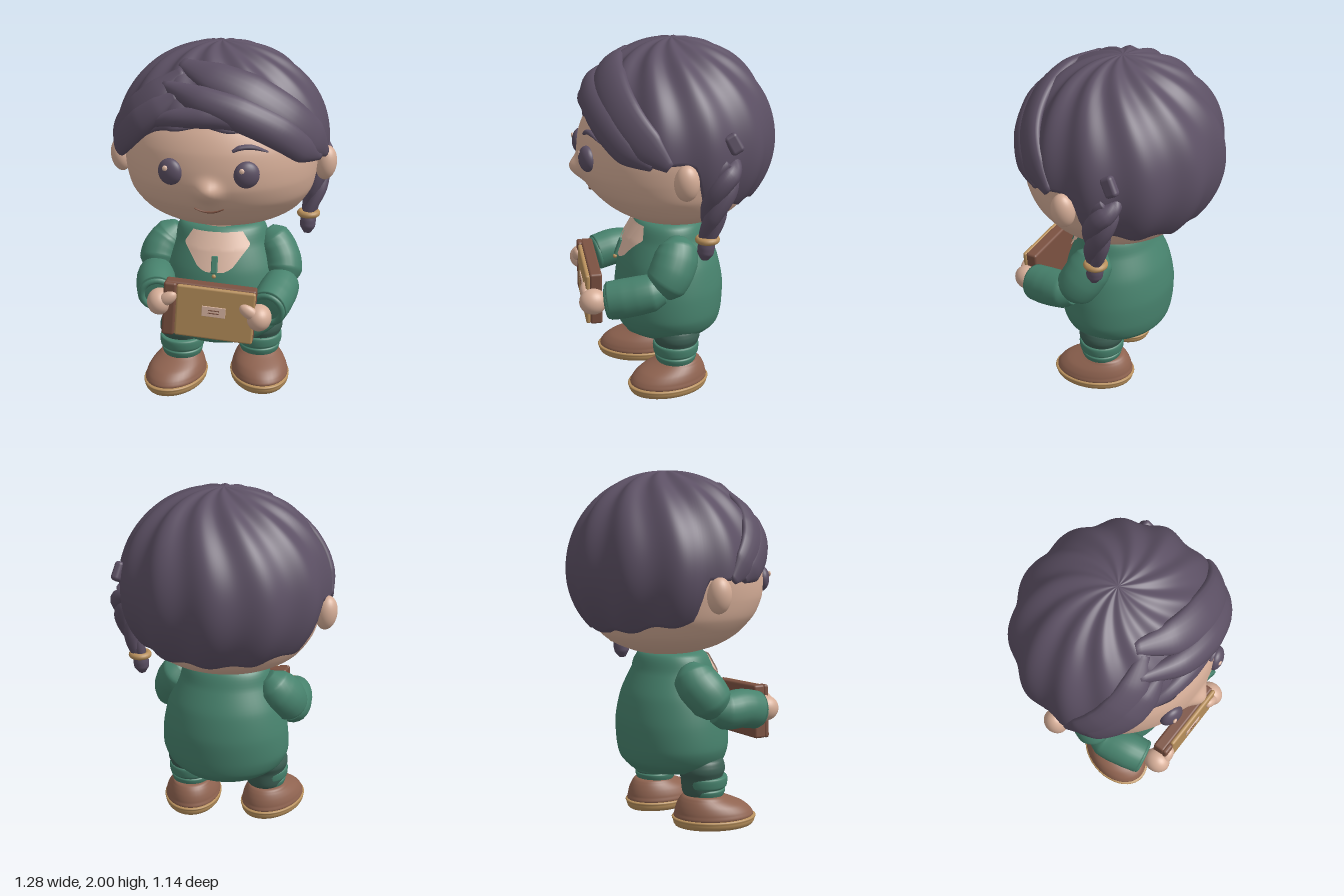
import * as THREE from 'three';
import { mergeVertices } from 'three/addons/utils/BufferGeometryUtils.js';
import { ParametricGeometry } from 'three/addons/geometries/ParametricGeometry.js';
import { RoundedBoxGeometry } from 'three/addons/geometries/RoundedBoxGeometry.js';

const V = (x, y, z) => new THREE.Vector3(x, y, z);

function material(name, color, side = THREE.FrontSide) {
  const m = new THREE.MeshStandardMaterial({ color, side });
  m.name = name;
  return m;
}

// Smooth welded surface from a function of u and v
function surface(fn, nu, nv) {
  const g = new ParametricGeometry(fn, nu, nv);
  g.deleteAttribute('uv');
  g.deleteAttribute('normal');
  const welded = mergeVertices(g);
  welded.computeVertexNormals();
  return welded;
}

// Linear lookup in a table whose first column is the key
function lookup(table, key, col = 1) {
  let i = 1;
  while (i < table.length - 1 && table[i][0] < key) i++;
  const a = table[i - 1], b = table[i];
  const t = THREE.MathUtils.clamp((key - a[0]) / (b[0] - a[0] || 1), 0, 1);
  return a[col] + (b[col] - a[col]) * t;
}

// Stacked ellipses, rows from bottom to top: [y, half width, back z, front z]; bump(p) may push points
function loft(rows, nu = 48, nv = 48, bump = () => {}) {
  const size = new THREE.CatmullRomCurve3(rows.map(r => V(r[1], r[0], 0)), false, 'catmullrom', 0.4);
  const depth = new THREE.CatmullRomCurve3(rows.map(r => V((r[2] + r[3]) / 2, (r[3] - r[2]) / 2, 0)), false, 'catmullrom', 0.4);
  return surface((u, v, p) => {
    const s = size.getPoint(v), d = depth.getPoint(v), a = u * Math.PI * 2;
    p.set(Math.sin(a) * s.x, s.y, d.x + Math.cos(a) * d.y);
    bump(p);
  }, nu, nv);
}

// Closed tube of changing width and thickness along a smooth path
function sweep(points, widths, thick, up, nu = 14, nv = 36) {
  const path = new THREE.CatmullRomCurve3(points);
  const pick = (list, t) => {
    const f = t * (list.length - 1), i = Math.min(Math.floor(f), list.length - 2);
    return THREE.MathUtils.lerp(list[i], list[i + 1], f - i);
  };
  return surface((u, v, p) => {
    const t = THREE.MathUtils.clamp((v * nv - 1) / (nv - 2), 0, 1);
    const cap = v < 0.5 / nv || v > 1 - 0.5 / nv ? 0 : 1;
    const c = path.getPoint(t), tan = path.getTangent(t);
    const n = up(c).addScaledVector(tan, -up(c).dot(tan)).normalize();
    const b = tan.clone().cross(n), a = -u * Math.PI * 2;
    p.copy(c).addScaledVector(b, Math.cos(a) * pick(widths, t) * cap)
      .addScaledVector(n, Math.sin(a) * pick(thick, t) * cap);
  }, nu, nv);
}

export function createModel() {
  const root = new THREE.Group();
  root.name = 'figure';
  const hair = material('plum hair', 0x5c5064);
  const skin = material('skin', 0xd6ae98);
  const coat = material('green coat', 0x47826d);
  const trousers = material('dark green trousers', 0x3d5f54);
  const leather = material('brown leather', 0x8f6350);
  const tan = material('tan', 0xb8905c);
  const cover = material('book brown', 0x7b5141);
  const cloth = material('pale cloth', 0xdfbaa6, THREE.DoubleSide);

  const add = (name, geometry, mat, pos = [0, 0, 0], rot = [0, 0, 0], parent = root) => {
    const m = new THREE.Mesh(geometry, mat);
    m.name = name;
    m.position.set(...pos);
    m.rotation.set(...rot);
    parent.add(m);
    return m;
  };
  const ball = (name, r, mat, pos, rot) => add(name, new THREE.SphereGeometry(1, 28, 20), mat, pos, rot).scale.set(...r);
  const sideways = () => V(1, 0, 0), forward = () => V(0, 0, 1);

  // Head, with the nose raised smoothly from its front
  add('head', loft([[0.978, 0, 0, 0], [0.985, 0.16, -0.16, 0.14], [1.035, 0.33, -0.3, 0.285], [1.1, 0.435, -0.385, 0.39],
    [1.2, 0.505, -0.44, 0.485], [1.3, 0.53, -0.46, 0.53], [1.4, 0.54, -0.47, 0.535], [1.5, 0.53, -0.46, 0.52],
    [1.6, 0.49, -0.43, 0.475], [1.75, 0.36, -0.32, 0.36], [1.85, 0.2, -0.18, 0.2], [1.88, 0, 0, 0]], 160, 110, p => {
    if (p.z > 0) p.z += 0.05 * Math.exp(-(((p.x / 0.062) ** 2 + ((p.y - 1.295) / 0.06) ** 2) ** 1.3));
  }), skin);
  add('neck', new THREE.CylinderGeometry(0.16, 0.17, 0.12, 32), skin, [0, 0.99, 0.02]);
  add('mouth', sweep([V(-0.078, 1.194, 0.477), V(-0.04, 1.176, 0.467), V(0, 1.17, 0.464), V(0.04, 1.176, 0.467), V(0.078, 1.194, 0.477)],
    [0.003, 0.007, 0.003], [0.009, 0.01, 0.009], forward, 8, 20), cover);
  for (const s of [-1, 1]) {
    ball('eye', [0.068, 0.071, 0.042], hair, [s * 0.2, 1.395, 0.5], [0, s * 0.3, 0]);
    ball('eyeHighlight', [0.014, 0.015, 0.008], cloth, [s * 0.2 - 0.02, 1.422, 0.538]);
    ball('ear', [0.06, 0.097, 0.066], skin, [s * 0.58, 1.345, 0.033], [0, 0, -s * 0.1]);
  }
  add('eyebrow', sweep([V(0.125, 1.515, 0.503), V(0.16, 1.532, 0.492), V(0.22, 1.535, 0.472), V(0.3, 1.505, 0.432)],
    [0.008, 0.014, 0.014, 0.004], [0.012, 0.018, 0.018, 0.012], forward, 10, 20), hair);

  // Hair cap: ridged, swirling dome with a wavy hem that falls behind the ears
  const hem = [[0, 1.62], [0.4, 1.61], [0.9, 1.5], [1.4, 1.43], [1.62, 1.41], [1.72, 1.2], [2.2, 1.16], [2.7, 1.13], [3.15, 1.13]];
  add('hairCap', surface((u, v, p) => {
    const a = Math.PI - u * Math.PI * 2, w = Math.min(v / 0.94, 1), lip = v > 0.94 ? 1 - 0.2 * (v - 0.94) / 0.06 : 1;
    const drop = lookup(hem, Math.abs(a)) - 1.45 - 0.012 * Math.sin(12 * a - 7);
    const phi = w * Math.acos(drop / (drop > 0 ? 0.55 : 0.52)), c = Math.cos(phi);
    const ridge = 1 + 0.022 * Math.sin(12 * (a - 0.6 * Math.sin(phi))) * Math.min(1, phi * 1.6);
    const r = Math.sin(phi) * lip * ridge;
    const back = Math.cos(a) < 0 ? 0.56 : 0.525;
    p.set(Math.sin(a) * r * 0.588, 1.45 + c * (c > 0 ? 0.55 * ridge : 0.52), Math.cos(a) * r * back);
  }, 192, 48), hair);

  // Fringe locks laid over the front of the dome, given as x, y
  const domeNormal = p => V(p.x / 0.36, (p.y - 1.45) / 0.3, p.z / 0.28).normalize();
  const lock = (xy, width, depth) => add('fringeLock', sweep(xy.map(([x, y]) =>
    V(x, y, 0.52 * Math.sqrt(Math.max(0.01, 1 - (x / 0.6) ** 2 - ((y - 1.45) / 0.55) ** 2)))),
  [0.3, 0.8, 1, 1, 0.85, 0.25].map(k => k * width), [0.4, 0.85, 1, 0.9, 0.7, 0.3].map(k => k * depth), domeNormal, 18, 44), hair);
  lock([[-0.18, 1.91], [0, 1.865], [0.2, 1.79], [0.4, 1.66], [0.53, 1.53], [0.583, 1.43]], 0.115, 0.05);
  lock([[-0.26, 1.81], [-0.05, 1.76], [0.15, 1.7], [0.35, 1.6], [0.47, 1.5], [0.55, 1.43]], 0.095, 0.068);
  lock([[-0.36, 1.62], [-0.15, 1.67], [0.05, 1.68], [0.2, 1.65], [0.36, 1.56]], 0.06, 0.048);
  lock([[-0.17, 1.88], [-0.32, 1.76], [-0.45, 1.63], [-0.54, 1.52], [-0.585, 1.42]], 0.1, 0.04);
  lock([[-0.18, 1.77], [-0.3, 1.69], [-0.42, 1.59], [-0.52, 1.48], [-0.56, 1.42]], 0.09, 0.05);

  // Braid: three strands twisting around a hanging path
  const hang = new THREE.CatmullRomCurve3([V(0.5, 1.43, -0.19), V(0.535, 1.34, -0.17), V(0.525, 1.18, -0.13), V(0.485, 1.0, -0.1)]);
  for (let k = 0; k < 3; k++) {
    const pts = [];
    for (let i = 0; i <= 14; i++) {
      const t = i / 14, a = t * 6 + k * Math.PI * 2 / 3, r = 0.05 - 0.026 * t;
      pts.push(hang.getPoint(t).add(V(Math.cos(a) * r * 0.8, 0, Math.sin(a) * r)));
    }
    add('braidStrand', sweep(pts, [0.03, 0.054, 0.052, 0.044, 0.026], [0.03, 0.046, 0.044, 0.04, 0.026], sideways, 12, 50), hair);
  }
  add('braidTip', sweep([V(0.485, 1.0, -0.1), V(0.482, 0.94, -0.092), V(0.48, 0.885, -0.085)], [0.04, 0.047, 0.045, 0.02], [0.04, 0.046, 0.044, 0.02], sideways, 14, 16), hair);
  add('braidBand', new THREE.TorusGeometry(0.048, 0.019, 12, 28), tan, [0.484, 1.0, -0.1], [Math.PI / 2, 0, 0]);
  add('hairKnot', new RoundedBoxGeometry(0.05, 0.11, 0.075, 3, 0.02), hair, [0.54, 1.53, -0.22], [0.5, 0, 0.15]);

  // Coat body
  const bodyRows = [[0.31, 0, 0.03, 0.03], [0.31, 0.23, -0.19, 0.25], [0.335, 0.295, -0.235, 0.3], [0.38, 0.345, -0.27, 0.325], [0.46, 0.378, -0.285, 0.34],
    [0.6, 0.37, -0.29, 0.335], [0.75, 0.335, -0.26, 0.31], [0.88, 0.275, -0.2, 0.26], [0.985, 0.225, -0.145, 0.2], [1.005, 0, 0.03, 0.03]];
  add('coat', loft(bodyRows, 56, 60), coat);
  const bodyZ = (x, y) => {
    const w = lookup(bodyRows, y), b = lookup(bodyRows, y, 2), f = lookup(bodyRows, y, 3);
    return (b + f) / 2 + (f - b) / 2 * Math.sqrt(Math.max(0, 1 - (x / w) ** 2));
  };

  // Neckerchief and its two folded points
  const patch = (name, rows, lift) => add(name, surface((u, v, p) => {
    const y = THREE.MathUtils.lerp(rows[0][0], rows[rows.length - 1][0], v);
    const x = THREE.MathUtils.lerp(lookup(rows, y, 1), lookup(rows, y, 2), u);
    p.set(x, y, bodyZ(x, y) + lift);
  }, 16, 16), cloth);
  patch('neckerchief', [[0.765, -0.05, 0.05], [0.785, -0.095, 0.095], [0.85, -0.145, 0.145], [0.9, -0.187, 0.187], [0.97, -0.14, 0.14]], 0.014);
  patch('kerchiefPoint', [[0.83, -0.065, -0.05], [0.87, -0.1, -0.035], [0.965, -0.12, -0.005]], 0.024);
  patch('kerchiefPoint', [[0.83, 0.05, 0.065], [0.87, 0.035, 0.1], [0.965, 0.005, 0.12]], 0.024);
  add('coatTabTop', new RoundedBoxGeometry(0.036, 0.1, 0.016, 2, 0.006), coat, [0, 0.81, 0.315], [-0.35, 0, 0]);
  add('coatTabBottom', new RoundedBoxGeometry(0.036, 0.08, 0.016, 2, 0.006), coat, [0, 0.39, 0.334], [0.3, 0, 0]);
  add('coatBead', new THREE.SphereGeometry(0.012, 12, 8), tan, [0, 0.75, 0.335]);

  // Arms, hands, legs and shoes
  const ring = (y, r) => [y, r, -r, r];
  for (const s of [-1, 1]) {
    const lift = s < 0 ? 0.05 : 0;
    add('upperArm', sweep([V(s * 0.25, 0.925, 0.01), V(s * 0.31, 0.85, 0.03), V(s * 0.355, 0.75 + lift / 2, 0.08), V(s * 0.36, 0.66 + lift / 2, 0.14)],
      [0.05, 0.11, 0.125, 0.125, 0.12, 0.08], [0.05, 0.1, 0.108, 0.112, 0.11, 0.07], sideways, 24, 36), coat);
    add('forearm', sweep([V(s * 0.36, 0.67 + lift / 2, 0.11), V(s * 0.355, 0.655 + lift / 2, 0.2), V(s * 0.335, 0.632 + lift, 0.3), V(s * 0.31, 0.61 + lift, 0.41)],
      [0.07, 0.104, 0.108, 0.11, 0.108], [0.07, 0.105, 0.11, 0.11, 0.102], sideways, 24, 32), coat);
    add('cuff', new THREE.TorusGeometry(0.084, 0.018, 12, 30), coat, [s * 0.307, 0.608 + lift, 0.41], [0.15, -s * 0.22, 0]);
    ball('hand', [0.069, 0.073, 0.078], skin, [s * 0.272, 0.595 + lift * 1.2, 0.495]);
    ball('thumb', [0.058, 0.036, 0.03], skin, [s * 0.222, 0.64 + lift, 0.532], [0, 0, -s * 0.6]);

    const z = s < 0 ? 0.175 : 0.065, legZ = z - 0.045;
    const x = s * 0.222;
    add('trouserLeg', loft([ring(0.18, 0), ring(0.185, 0.1), ring(0.28, 0.118), ring(0.325, 0.134), ring(0.36, 0.132),
      ring(0.395, 0.11), ring(0.41, 0)], 36, 36), trousers, [x, 0, legZ * 0.85]);
    add('trouserCuff', loft([ring(0.17, 0), ring(0.175, 0.1), ring(0.19, 0.115), ring(0.212, 0.12), ring(0.222, 0.114),
      ring(0.235, 0.128), ring(0.275, 0.132), ring(0.292, 0.122), ring(0.292, 0.06)], 36, 40), coat, [x, 0, legZ]);
    const shoe = new THREE.Group();
    shoe.name = 'shoe';
    shoe.position.set(s < 0 ? -0.253 : 0.229, 0, z);
    shoe.rotation.y = s * 0.25;
    root.add(shoe);
    add('shoeUpper', loft([[0.055, 0, 0, 0], [0.056, 0.155, -0.215, 0.215], [0.09, 0.162, -0.225, 0.218], [0.13, 0.147, -0.215, 0.17],
      [0.165, 0.122, -0.195, 0.085], [0.185, 0.098, -0.165, 0.03], [0.187, 0, -0.06, -0.06]], 40, 36), leather, [0, 0, 0], [0, 0, 0], shoe);
    add('shoeSole', loft([[0, 0, 0, 0], [0.004, 0.135, -0.2, 0.2], [0.018, 0.163, -0.228, 0.23], [0.042, 0.171, -0.235, 0.239],
      [0.063, 0.16, -0.225, 0.226], [0.065, 0, 0, 0]], 40, 30), tan, [0, 0, 0], [0, 0, 0], shoe);
  }

  // Book held in front
  const book = new THREE.Group();
  book.name = 'book';
  book.position.set(0, 0.612, 0.48);
  book.rotation.z = -0.07;
  root.add(book);
  const slab = (name, w, h, d, mat, x, y, z) => add(name, new RoundedBoxGeometry(w, h, d, 3, Math.min(d / 2.1, 0.014)), mat, [x, y, z], [0, 0, 0], book);
  slab('bookBlock', 0.5, 0.31, 0.07, cover, 0, 0, -0.005);
  slab('bookFront', 0.43, 0.3, 0.026, tan, 0.035, 0, 0.04);
  slab('bookSpine', 0.07, 0.31, 0.032, cover, -0.216, 0, 0.038);
  slab('bookLabel', 0.13, 0.06, 0.006, cloth, 0.03, 0.018, 0.056);
  for (const y of [0.027, 0.011]) slab('labelStripe', 0.06, 0.006, 0.004, cover, 0.03, y, 0.06);

  return root;
}
